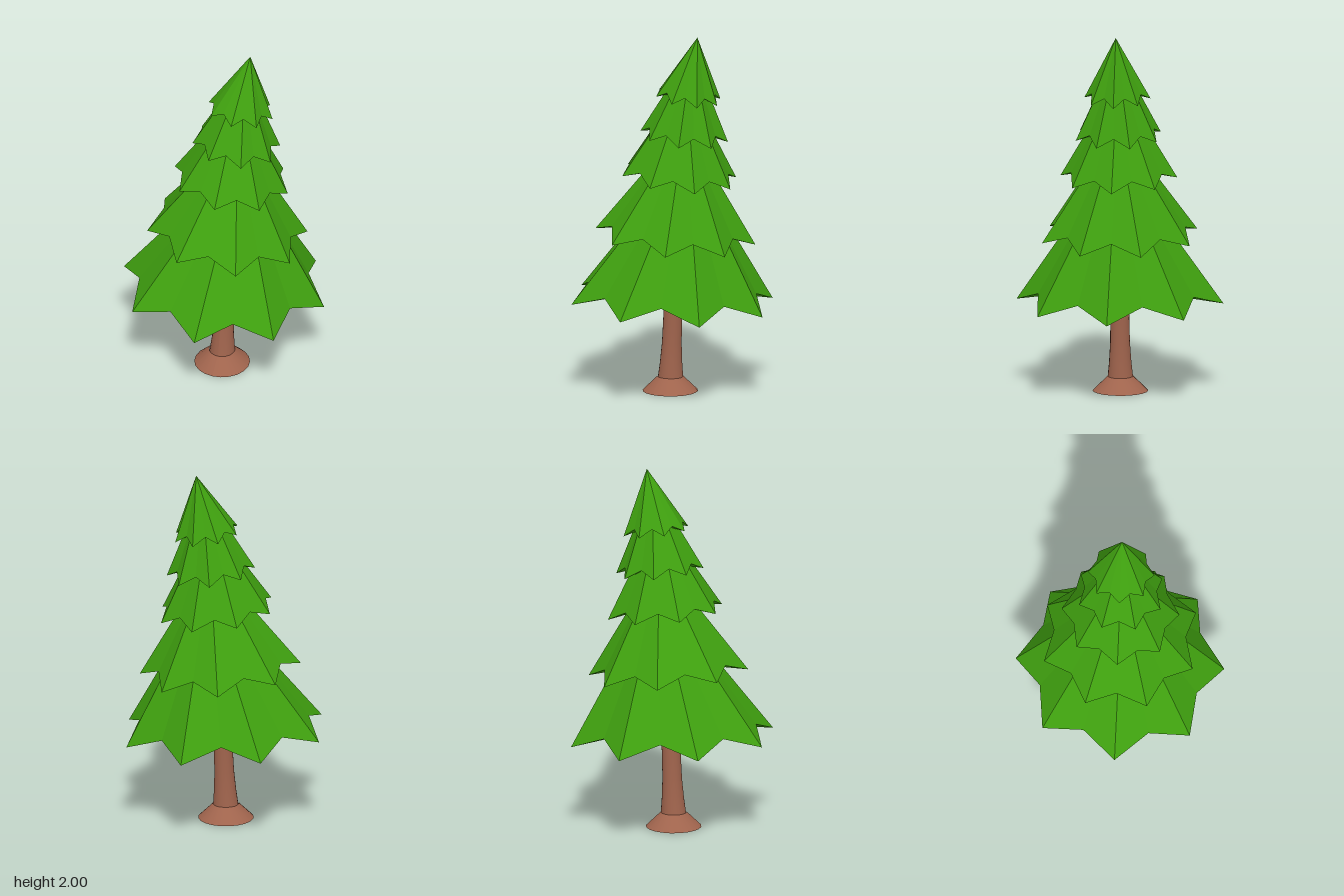
import * as THREE from 'three';

const leaf = new THREE.MeshStandardMaterial({ color: 0x3fa00f });
leaf.name = 'leaf green';
const bark = new THREE.MeshStandardMaterial({ color: 0xa0644d });
bark.name = 'bark brown';

// Eight-pointed drooping skirt: a star rim, tilted with the lean, rising to one apex.
function foliageTier({ center, radius, valley, lift, turn, tilt, apex }) {
  const [cx, cy, cz] = center;
  const rim = [];
  for (let i = 0; i < 16; i++) {
    const angle = THREE.MathUtils.degToRad(turn + i * 22.5);
    const isTip = i % 2 === 0;
    const r = isTip ? radius : radius * valley;
    const x = Math.cos(angle) * r;
    const z = Math.sin(angle) * r;
    rim.push([cx + x, cy + (isTip ? 0 : lift) + tilt * (z - x), cz + z]);
  }
  const under = [cx, cy + lift, cz];
  const positions = [];
  rim.forEach((p, i) => {
    const next = rim[(i + 1) % rim.length];
    positions.push(...p, ...apex, ...next); // outside
    positions.push(...p, ...next, ...under); // underside
  });
  const geometry = new THREE.BufferGeometry();
  geometry.setAttribute('position', new THREE.Float32BufferAttribute(positions, 3));
  geometry.computeVertexNormals();
  return new THREE.Mesh(geometry, leaf);
}

// Round bark section from a [radius, height] profile, shifted sideways along the lean.
function barkSection(name, profile, lean) {
  const points = profile.map(([r, y]) => new THREE.Vector2(r, y));
  const geometry = new THREE.LatheGeometry(points, 20);
  const pos = geometry.attributes.position;
  for (let i = 0; i < pos.count; i++) {
    const shift = lean(pos.getY(i));
    pos.setX(i, pos.getX(i) + shift);
    pos.setZ(i, pos.getZ(i) - shift);
  }
  geometry.computeVertexNormals();
  const mesh = new THREE.Mesh(geometry, bark);
  mesh.name = name;
  return mesh;
}

export function createModel() {
  const tree = new THREE.Group();
  tree.name = 'pineTree';

  // Trunk with a flared foot
  const lean = (y) => -0.009 + 0.03 * y;
  tree.add(barkSection('trunk',
    [[0.07, 0.07], [0.061, 0.16], [0.054, 0.27], [0.052, 0.4], [0.052, 0.62]], lean));
  tree.add(barkSection('rootFlare', [[0.152, 0], [0.07, 0.08]], () => -0.008));
  const foot = new THREE.Mesh(new THREE.CircleGeometry(0.152, 20), bark);
  foot.name = 'footUnderside';
  foot.rotation.x = Math.PI / 2;
  foot.position.set(-0.008, 0, 0.008);
  tree.add(foot);

  // Foliage, bottom to top, each tier turned half a point from the one below
  const tiers = [
    { center: [0, 0.5, 0], radius: 0.57, valley: 0.815, lift: 0.075, tilt: 0.03, apex: [0.07, 1.33, -0.07] },
    { center: [0.013, 0.867, -0.017], radius: 0.44, valley: 0.82, lift: 0.058, tilt: 0.06, apex: [0.055, 1.5, -0.06] },
    { center: [0.03, 1.205, -0.034], radius: 0.322, valley: 0.84, lift: 0.048, tilt: 0.075, apex: [0.06, 1.75, -0.065] },
    { center: [0.05, 1.435, -0.058], radius: 0.241, valley: 0.82, lift: 0.045, tilt: 0.08, apex: [0.085, 1.92, -0.095] },
    { center: [0.068, 1.655, -0.077], radius: 0.182, valley: 0.81, lift: 0.04, tilt: 0.1, apex: [0.108, 2, -0.12] },
  ];
  tiers.forEach((tier, i) => {
    const mesh = foliageTier({ ...tier, turn: i % 2 ? 18.5 : -4 });
    mesh.name = `foliageTier${i + 1}`;
    tree.add(mesh);
  });

  return tree;
}
